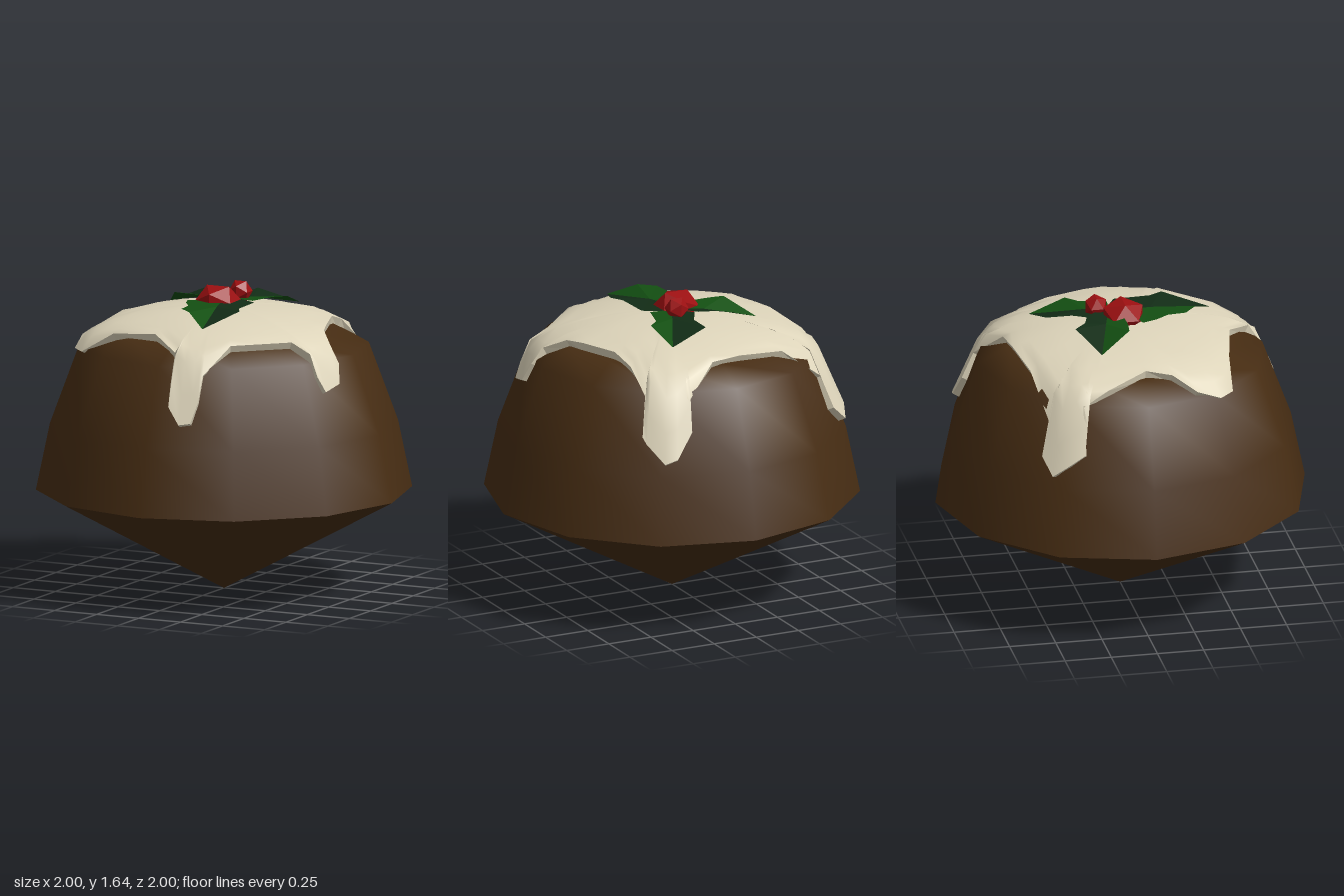
import * as THREE from 'three';

const mat = (name, color, side = THREE.FrontSide) => {
  const m = new THREE.MeshStandardMaterial({ color, side });
  m.name = name;
  return m;
};

// Height of a radial profile, linear between its [radius, height] points
function heightAt(profile, r) {
  let i = 1;
  while (i < profile.length - 1 && r > profile[i][0]) i++;
  const [r0, y0] = profile[i - 1], [r1, y1] = profile[i];
  return y0 + (y1 - y0) * (r - r0) / (r1 - r0);
}

// Radius measured towards the corners of a twelve-sided ring
function facetRadius(x, z) {
  const step = Math.PI / 6;
  const a = Math.atan2(z, x) + Math.PI * 2;
  return Math.hypot(x, z) * Math.cos(a % step - step / 2) / Math.cos(step / 2);
}

function meshGeometry(positions, indices) {
  const g = new THREE.BufferGeometry();
  g.setAttribute('position', new THREE.Float32BufferAttribute(positions, 3));
  if (indices) g.setIndex(indices);
  g.computeVertexNormals();
  return g;
}

// Icing outline seen from above, as x, z, running from the front drip round by +x
const icingOutline = [
  [0.17, 0.87], [0.23, 0.85], [0.25, 0.8], [0.25, 0.74], [0.33, 0.57], [0.45, 0.45],
  [0.57, 0.33], [0.68, 0.33], [0.73, 0.34], [0.77, 0.32], [0.79, 0.2], [0.76, 0.15],
  [0.7, 0.13], [0.61, 0.03], [0.57, -0.08], [0.49, -0.3], [0.47, -0.45], [0.47, -0.62],
  [0.52, -0.69], [0.51, -0.72], [0.45, -0.82], [0.38, -0.83], [0.28, -0.8], [0.28, -0.74],
  [0.07, -0.62], [-0.1, -0.6], [-0.37, -0.56], [-0.63, -0.51], [-0.68, -0.56], [-0.77, -0.52],
  [-0.8, -0.44], [-0.8, -0.35], [-0.7, -0.34], [-0.67, -0.2], [-0.59, 0.02], [-0.61, 0.16],
  [-0.7, 0.28], [-0.68, 0.41], [-0.6, 0.49], [-0.4, 0.51], [-0.12, 0.57], [0.07, 0.71],
  [0.09, 0.8], [0.1, 0.85],
];
const icingProfile = [[0, 1.53], [0.2, 1.525], [0.4, 1.5], [0.6, 1.455], [0.77, 1.37], [0.93, 1.0]];

function icingTop() {
  const n = icingOutline.length, rings = [0.25, 0.45, 0.62, 0.75, 0.85, 0.93, 1];
  const pos = [0, icingProfile[0][1], 0], idx = [];
  rings.forEach((t, k) => icingOutline.forEach(([x, z], i) => {
    pos.push(x * t, heightAt(icingProfile, facetRadius(x * t, z * t)), z * t);
    const j = (i + 1) % n, a = 1 + k * n;
    if (k === 0) idx.push(0, a + i, a + j);
    else idx.push(a - n + i, a + i, a + j, a - n + i, a + j, a - n + j);
  }));
  return meshGeometry(pos, idx);
}

// Thickness of the icing, turned in towards the dome
function icingEdge() {
  const n = icingOutline.length, pos = [];
  const pair = (i) => {
    const [x, z] = icingOutline[i % n], rho = facetRadius(x, z), r = Math.hypot(x, z);
    const y = heightAt(icingProfile, rho);
    const slope = (heightAt(icingProfile, rho - 0.02) - y) / 0.02;
    const len = Math.hypot(slope, 1), s = 1 - 0.055 * slope / len / r;
    return [[x, y, z], [x * s, y - 0.055 / len, z * s]];
  };
  for (let i = 0; i < n; i++) {
    const [p, q] = pair(i), [p2, q2] = pair(i + 1);
    pos.push(...p, ...q, ...q2, ...p, ...q2, ...p2);
  }
  return meshGeometry(pos);
}

// Each leaf: midrib base and tip, then the edges of its two halves (x, z)
const leaves = [
  {
    name: 'leftLeaf', base: [-0.02, -0.07], tip: [-0.41, -0.18], lift: 0.015,
    dark: [[-0.22, -0.285], [-0.15, -0.22], [-0.06, -0.19], [0, -0.12]],
    light: [[-0.3, -0.01], [-0.22, 0.0], [-0.1, 0.0]],
  },
  {
    name: 'backLeaf', base: [0.03, -0.06], tip: [0.22, -0.45], lift: 0,
    dark: [[0, -0.4], [0, -0.26], [-0.06, -0.15]],
    light: [[0.25, -0.25], [0.19, -0.19], [0.15, -0.04], [0.07, -0.05]],
  },
  {
    name: 'frontLeaf', base: [0.01, 0.03], tip: [0.13, 0.51], lift: 0,
    dark: [[0.23, 0.27], [0.19, 0.2], [0.18, 0], [0.07, -0.06]],
    light: [[0, 0.41], [-0.08, 0.34], [-0.09, 0.24], [-0.14, 0.17], [-0.17, 0.09]],
  },
];

function leafHalf({ base, tip, lift }, edge) {
  const mid = [0.3 * tip[0] + 0.7 * base[0], 1.55, 0.3 * tip[1] + 0.7 * base[1]];
  const rim = [
    [tip[0], 1.49, tip[1]],
    ...edge.map(([x, z]) => [x, 1.555 + lift, z]),
    [base[0], 1.56, base[1]],
  ];
  const pos = [];
  for (let i = 0; i < rim.length - 1; i++) {
    const [a, b] = [rim[i], rim[i + 1]];
    // Keep every face turned upwards
    const up = (a[2] - mid[2]) * (b[0] - mid[0]) - (a[0] - mid[0]) * (b[2] - mid[2]) > 0;
    pos.push(...mid, ...(up ? a : b), ...(up ? b : a));
  }
  return meshGeometry(pos);
}

export function createModel() {
  const model = new THREE.Group();
  model.name = 'pudding';
  const sponge = mat('spongeBrown', 0x472d13);
  const cream = mat('icingCream', 0xddd4ba, THREE.DoubleSide);
  const darkGreen = mat('leafDarkGreen', 0x122c16, THREE.DoubleSide);
  const lightGreen = mat('leafGreen', 0x134f12, THREE.DoubleSide);
  const red = mat('berryRed', 0x9c0f11);
  red.flatShading = true;

  const add = (name, geometry, material, parent = model) => {
    const mesh = new THREE.Mesh(geometry, material);
    mesh.name = name;
    parent.add(mesh);
    return mesh;
  };
  const lathe = (pts) => new THREE.LatheGeometry(pts.map(([x, y]) => new THREE.Vector2(x, y)), 12);

  // Twelve-sided dome on a pointed underside
  add('dome', lathe([[1, 0.54], [0.925, 0.9], [0.77, 1.32], [0.6, 1.41], [0, 1.47]]), sponge);
  add('underside', lathe([[0, 0], [1, 0.54]]), sponge);

  // Dripping icing
  const icing = new THREE.Group();
  icing.name = 'icing';
  model.add(icing);
  add('icingTop', icingTop(), cream, icing);
  add('icingEdge', icingEdge(), cream, icing);

  // Holly sprig
  const holly = new THREE.Group();
  holly.name = 'holly';
  model.add(holly);
  for (const leaf of leaves) {
    add(leaf.name + 'DarkHalf', leafHalf(leaf, leaf.dark), darkGreen, holly);
    add(leaf.name + 'LightHalf', leafHalf(leaf, leaf.light), lightGreen, holly);
  }
  const berry = (name, r, x, y, z, squash) => {
    const b = add(name, new THREE.IcosahedronGeometry(r, 0), red, holly);
    b.position.set(x, y, z);
    b.scale.y = squash;
  };
  berry('largeBerry', 0.125, -0.03, 1.55, 0.01, 0.75);
  berry('smallBerry', 0.065, 0.035, 1.585, -0.125, 1);
  return model;
}
